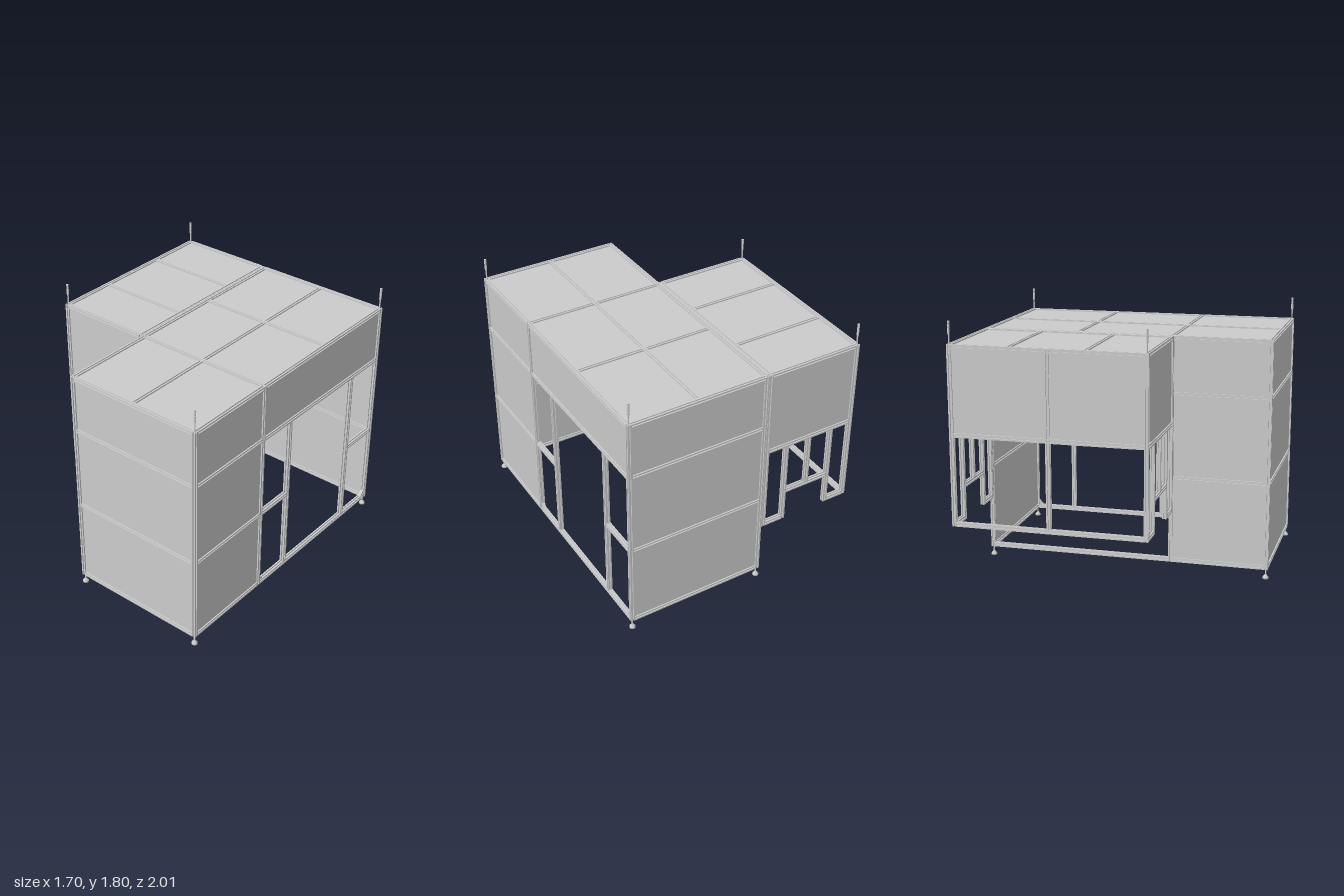
import * as THREE from 'three';

const W = 0.03;            // width of the slotted frame profile
const grey = new THREE.MeshStandardMaterial({ color: 0xcccccc });

// Square profile with one slot in the middle of each side
function profileShape() {
  const h = W / 2, s = 0.004, d = 0.009;
  const side = [[-h, -h], [-s, -h], [-s, -h + d], [s, -h + d], [s, -h]];
  const pts = [];
  for (let i = 0; i < 4; i++) {
    const c = Math.round(Math.cos(i * Math.PI / 2)), n = Math.round(Math.sin(i * Math.PI / 2));
    for (const [x, y] of side) pts.push(new THREE.Vector2(x * c - y * n, x * n + y * c));
  }
  return new THREE.Shape(pts);
}

export function createModel() {
  const model = new THREE.Group();
  model.name = 'machineEnclosure';
  const shape = profileShape();

  const add = (name, geometry, x, y, z) => {
    const mesh = new THREE.Mesh(geometry, grey);
    mesh.name = name;
    mesh.position.set(x, y, z);
    model.add(mesh);
    return mesh;
  };

  // Slotted bar between two points
  const bar = (name, p, q) => {
    const a = new THREE.Vector3(...p), dir = new THREE.Vector3(...q).sub(a);
    const geometry = new THREE.ExtrudeGeometry(shape, { depth: dir.length(), bevelEnabled: false });
    const mesh = add(name, geometry, ...p);
    mesh.quaternion.setFromUnitVectors(new THREE.Vector3(0, 0, 1), dir.normalize());
  };
  const post = (name, x, z, y0, y1) => bar(name, [x, y0, z], [x, y1, z]);
  const railX = (name, y, z, x0, x1) => bar(name, [x0 + W / 2, y, z], [x1 - W / 2, y, z]);
  const railZ = (name, x, y, z0, z1) => bar(name, [x, y, z0 + W / 2], [x, y, z1 - W / 2]);

  // Thin sheet filling the space between two opposite corners
  const panel = (name, p, q) => {
    const size = p.map((v, i) => Math.max(Math.abs(q[i] - v) - 0.02, 0.012));
    add(name, new THREE.BoxGeometry(...size), ...p.map((v, i) => (v + q[i]) / 2));
  };

  // Centre lines of the frame
  const R = 0.833, L = -0.14, SI = -0.172, SO = -0.835;
  const F = 0.985, M = 0.32, B = -0.985;
  const TOP = 1.635, HIGH = 1.253, MID = 0.667, LOW = 0.08;
  const S_LOW = 0.447, S_MID = 1.053;
  const levels = [LOW, MID, HIGH, TOP];

  // Main cabin posts
  for (const x of [L, R]) for (const z of [F, M, B]) post('mainPost', x, z, LOW - W / 2, TOP + W / 2);

  // Fully clad cabin walls: front, back and the forward part of both sides
  levels.forEach((y, i) => {
    for (const z of [F, B]) {
      railX('wallRail', y, z, L, R);
      if (i) panel('wallPanel', [L, levels[i - 1], z], [R, y, z]);
    }
    for (const x of [L, R]) {
      railZ('sideRail', x, y, M, F);
      if (i) panel('sidePanel', [x, levels[i - 1], M], [x, y, F]);
    }
  });

  // Open doorway side
  for (const y of [LOW, HIGH, TOP]) railZ('doorwayRail', R, y, B, M);
  panel('doorwayHeaderPanel', [R, HIGH, B], [R, TOP, M]);
  for (const z of [0.025, -0.68]) post('doorPost', R, z, LOW + W / 2, HIGH - W / 2);
  railZ('doorwayShortRail', R, MID, 0.025, M);
  railZ('doorwayShortRail', R, MID, B, -0.68);

  // Corner gussets at the foot of the doorway
  for (const [z, s] of [[M - W / 2, -1], [B + W / 2, 1]]) {
    const tri = new THREE.Shape([[0, 0], [-0.035 * s, 0], [0, 0.035]].map(p => new THREE.Vector2(...p)));
    const gusset = new THREE.ExtrudeGeometry(tri, { depth: 0.02, bevelEnabled: false });
    add('gusset', gusset, R - 0.01, LOW + W / 2, z).rotation.y = Math.PI / 2;
  }

  // Rails joining the cabin to the side bay
  for (const y of [LOW, TOP]) railZ('joinRail', L, y, B, M);
  railZ('joinRail', SI, TOP, B, M);

  // Side bay posts and long outer wall
  for (const x of [SO, SI]) for (const z of [M, B]) post('bayPost', x, z, S_LOW - W / 2, TOP + W / 2);
  post('bayMiddlePost', SO, -0.33, S_LOW, TOP + W / 2);
  for (const y of [S_LOW, S_MID, TOP]) railZ('bayRail', SO, y, B, M);
  for (const [z0, z1] of [[B, -0.33], [-0.33, M]]) panel('bayPanel', [SO, S_MID, z0], [SO, TOP, z1]);

  // Side bay ends, each with a raised passage in the middle
  const passL = -0.68, passR = -0.327;
  for (const z of [M, B]) {
    for (const y of [S_MID, TOP]) railX('bayEndRail', y, z, SO, SI);
    panel('bayEndPanel', [SO, S_MID, z], [SI, TOP, z]);
    for (const x of [passL, passR]) post('passagePost', x, z, S_LOW - W / 2, S_MID - W / 2);
    railX('passageRail', MID, z, passL, passR);
    post('passageUpright', -0.505, z, MID + W / 2, S_MID - W / 2);
    railX('bayFootRail', S_LOW, z, SO, passL);
    railX('bayFootRail', S_LOW, z, passR, SI);
  }

  // Roof grids with sheets between the rails
  const roof = (xs, zs) => {
    for (const z of zs.slice(1, -1)) railX('roofCrossRail', TOP, z, xs[0], xs[xs.length - 1]);
    for (const x of xs.slice(1, -1)) railZ('roofLongRail', x, TOP, zs[0], zs[zs.length - 1]);
    for (let i = 1; i < xs.length; i++) for (let j = 1; j < zs.length; j++)
      panel('roofPanel', [xs[i - 1], TOP, zs[j - 1]], [xs[i], TOP, zs[j]]);
  };
  roof([L, 0.345, R], [B, -0.335, M, F]);
  roof([SO, SI], [B, -0.59, -0.08, M]);

  // Levelling feet
  const footProfile = [[0, 0], [0.021, 0], [0.021, 0.01], [0.008, 0.028], [0.005, 0.03], [0.005, 0.068]]
    .map(p => new THREE.Vector2(...p));
  for (const x of [L, R]) for (const z of [F, B]) add('foot', new THREE.LatheGeometry(footProfile, 16), x, 0, z);

  // Signal masts with stacked segments
  for (const [x, z] of [[R, F], [R, B], [SO, M], [SO, B]]) {
    add('mastStem', new THREE.CylinderGeometry(0.005, 0.005, 0.15, 10), x, 1.725, z);
    for (let i = 0; i < 4; i++)
      add('mastSegment', new THREE.CylinderGeometry(0.008, 0.008, 0.018, 12), x, 1.727 + i * 0.0213, z);
  }
  return model;
}
